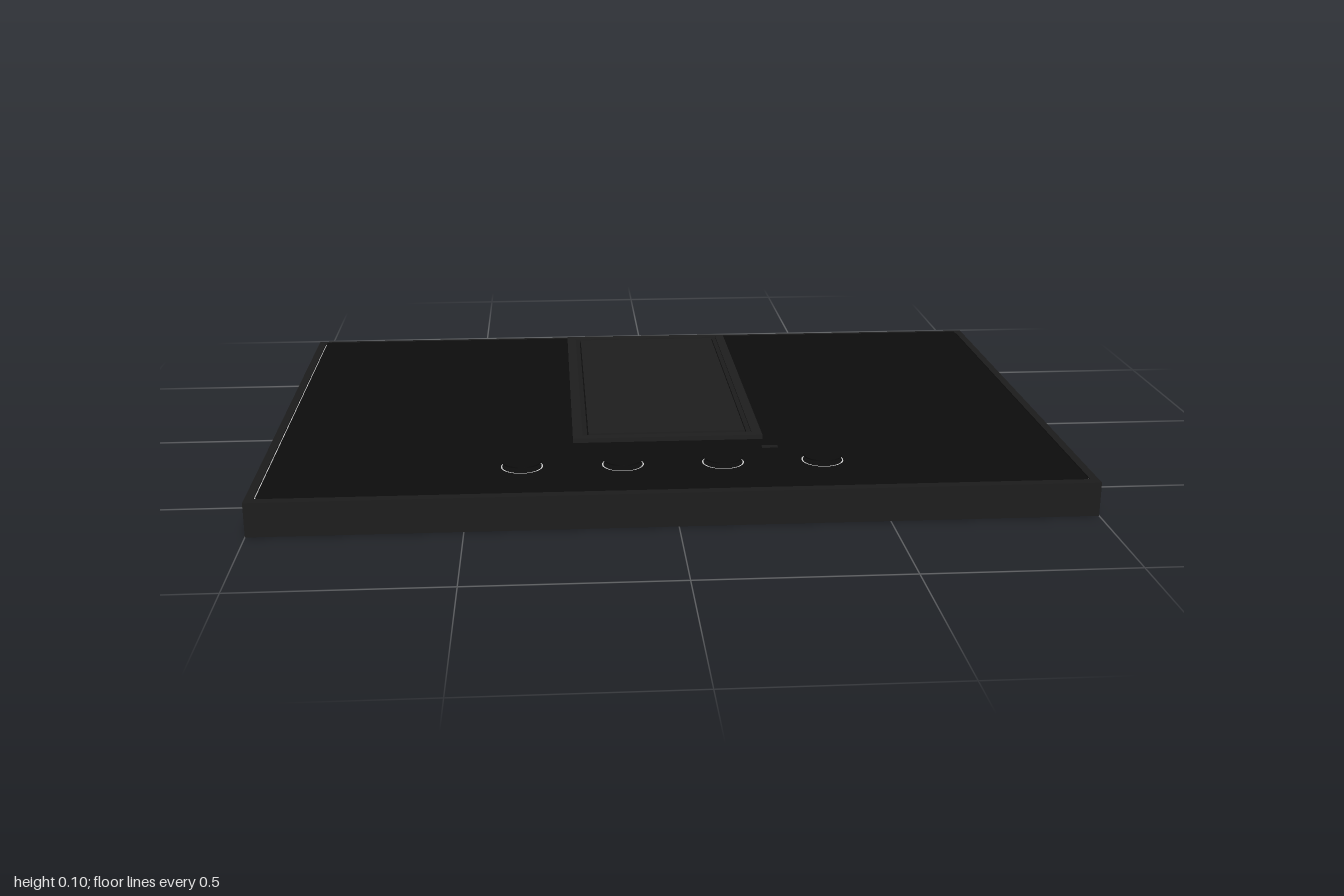
import * as THREE from 'three';

const mat = (color) => new THREE.MeshStandardMaterial({ color });
const grey = mat(0xcccccc);
const frameBlack = mat(0x1c1c1c);
const glassBlack = mat(0x0d0d0d);
const ventBlack = mat(0x1e1e1e);

function add(parent, name, geometry, material, x = 0, y = 0, z = 0) {
  const mesh = new THREE.Mesh(geometry, material);
  mesh.name = name;
  mesh.position.set(x, y, z);
  parent.add(mesh);
  return mesh;
}

// Box given by its width, depth and bottom/top heights
function slab(parent, name, w, d, y0, y1, material, x = 0, z = 0) {
  return add(parent, name, new THREE.BoxGeometry(w, y1 - y0, d), material, x, (y0 + y1) / 2, z);
}

// Flat rectangular ring, extruded upward from its base
function rectRing(w, d, bw, bd, h) {
  const rect = (C, a, b) => {
    const p = new C();
    p.moveTo(-a, -b).lineTo(a, -b).lineTo(a, b).lineTo(-a, b).closePath();
    return p;
  };
  const shape = rect(THREE.Shape, w / 2, d / 2);
  shape.holes.push(rect(THREE.Path, w / 2 - bw, d / 2 - bd));
  const g = new THREE.ExtrudeGeometry(shape, { depth: h, bevelEnabled: false });
  return g.rotateX(-Math.PI / 2);
}

function makeKnob() {
  const knob = new THREE.Group();
  knob.name = 'knob';
  // Light trim ring on the glass
  const ring = new THREE.RingGeometry(0.0475, 0.051, 48).rotateX(-Math.PI / 2);
  add(knob, 'knobTrim', ring, grey, 0, 0.0885, 0);
  add(knob, 'knobBase', new THREE.CylinderGeometry(0.0475, 0.0475, 0.002, 48), glassBlack, 0, 0.0885, 0);
  add(knob, 'knobStem', new THREE.CylinderGeometry(0.014, 0.014, 0.014, 24), frameBlack, 0, 0.094, 0);
  add(knob, 'knobCap', new THREE.CylinderGeometry(0.047, 0.047, 0.003, 48), glassBlack, 0, 0.1015, 0);
  return knob;
}

export function createModel() {
  const model = new THREE.Group();
  model.name = 'cooktop';

  // Outer frame, housing and glass plate
  add(model, 'frame', rectRing(2, 1.38, 0.02, 0.025, 0.084), frameBlack);
  slab(model, 'housing', 1.96, 1.33, 0.036, 0.08, grey);
  slab(model, 'lowerHousing', 1.03, 1.33, 0.003, 0.036, grey);
  slab(model, 'glassPlate', 1.948, 1.33, 0.08, 0.0875, glassBlack);

  // Central extractor grille with stepped frame
  const vent = new THREE.Group();
  vent.name = 'extractor';
  vent.position.z = -0.155;
  add(vent, 'extractorFrame', rectRing(0.48, 0.97, 0.025, 0.025, 0.0125), ventBlack, 0, 0.0865, 0);
  add(vent, 'extractorInnerFrame', rectRing(0.43, 0.92, 0.012, 0.012, 0.0095), frameBlack, 0, 0.0865, 0);
  slab(vent, 'extractorGap', 0.44, 0.93, 0.086, 0.09, glassBlack);
  slab(vent, 'extractorCover', 0.40, 0.89, 0.087, 0.0985, ventBlack);
  model.add(vent);

  // Small status indicator
  slab(model, 'indicator', 0.04, 0.014, 0.087, 0.09, frameBlack, 0.25, 0.392);

  // Row of control knobs
  for (const x of [-0.366, -0.122, 0.122, 0.366]) {
    const knob = makeKnob();
    knob.position.set(x, 0, 0.497);
    model.add(knob);
  }
  return model;
}
